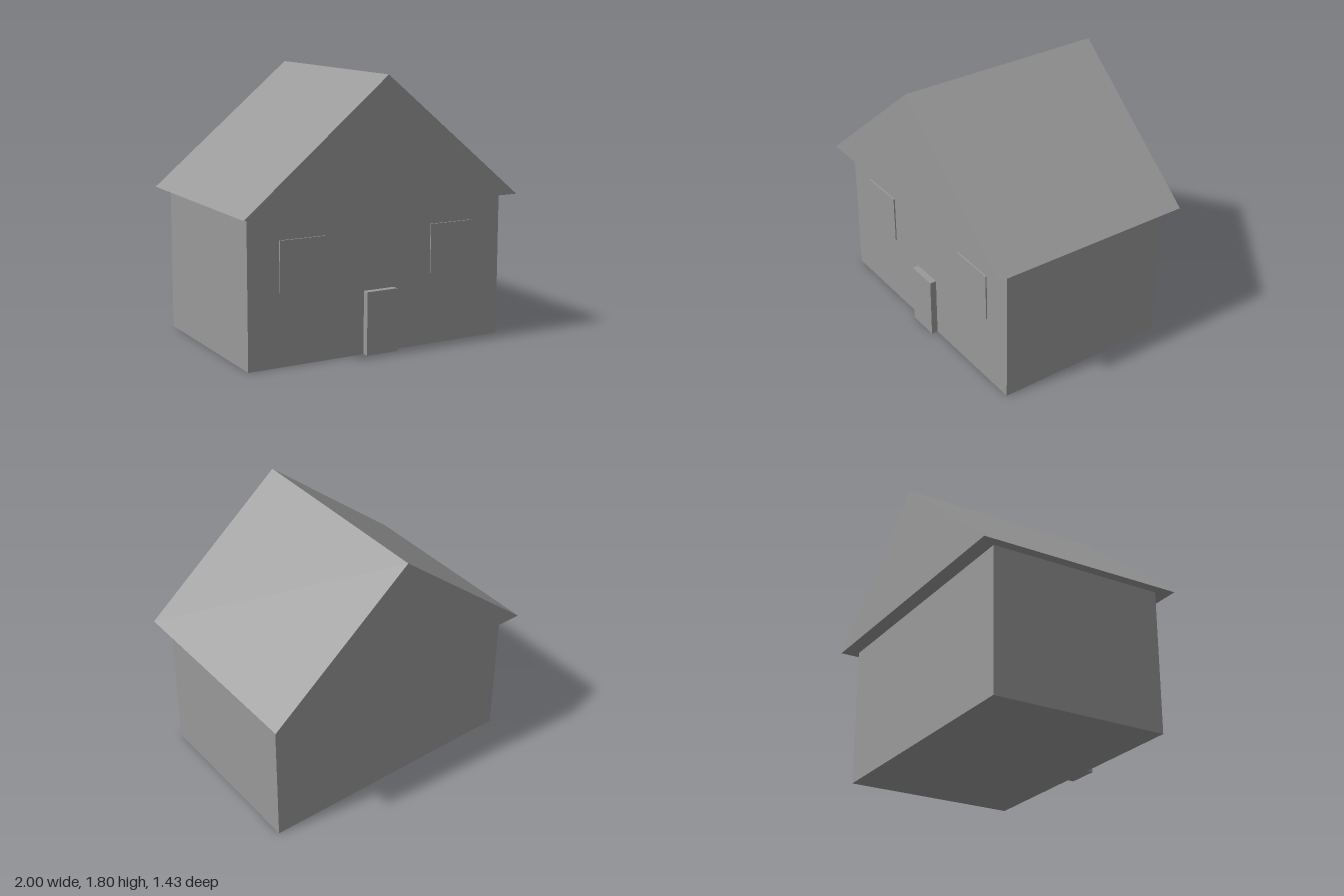
import * as THREE from 'three';

export function createModel() {
  const house = new THREE.Group();
  house.name = 'house';
  const grey = new THREE.MeshStandardMaterial({ color: 0x999999 });
  grey.name = 'plain grey';

  const add = (name, geometry, x = 0, y = 0, z = 0, parent = house) => {
    const mesh = new THREE.Mesh(geometry, grey);
    mesh.name = name;
    mesh.position.set(x, y, z);
    parent.add(mesh);
    return mesh;
  };

  const eaves = 0.975, ridge = 1.805, wallZ = 0.61, roofZ = 0.715;

  // Walls
  add('walls', new THREE.BoxGeometry(1.866, eaves, wallZ * 2), 0, eaves / 2, 0);

  // Solid gable roof overhanging all four walls
  const gable = new THREE.Shape([
    new THREE.Vector2(-1, eaves),
    new THREE.Vector2(1, eaves),
    new THREE.Vector2(0, ridge),
  ]);
  add('roof', new THREE.ExtrudeGeometry(gable, { depth: roofZ * 2, bevelEnabled: false }), 0, 0, -roofZ);

  // Door slab standing proud of the front wall
  add('door', new THREE.BoxGeometry(0.224, 0.42, 0.045), 0, 0.21, wallZ + 0.0225);

  // Two sash windows, the upper sash slightly in front of the lower
  const width = 0.325, sash = 0.165;
  for (const [side, name] of [[1, 'leftWindow'], [-1, 'rightWindow']]) {
    const frame = new THREE.Group();
    frame.name = name;
    frame.position.set(side * 0.552, 0.645, wallZ);
    house.add(frame);
    add('lowerSash', new THREE.BoxGeometry(width, sash, 0.008), 0, -sash / 2, 0.004, frame);
    add('upperSash', new THREE.BoxGeometry(width, sash, 0.0096), 0, sash / 2, 0.0048, frame);
  }
  return house;
}
